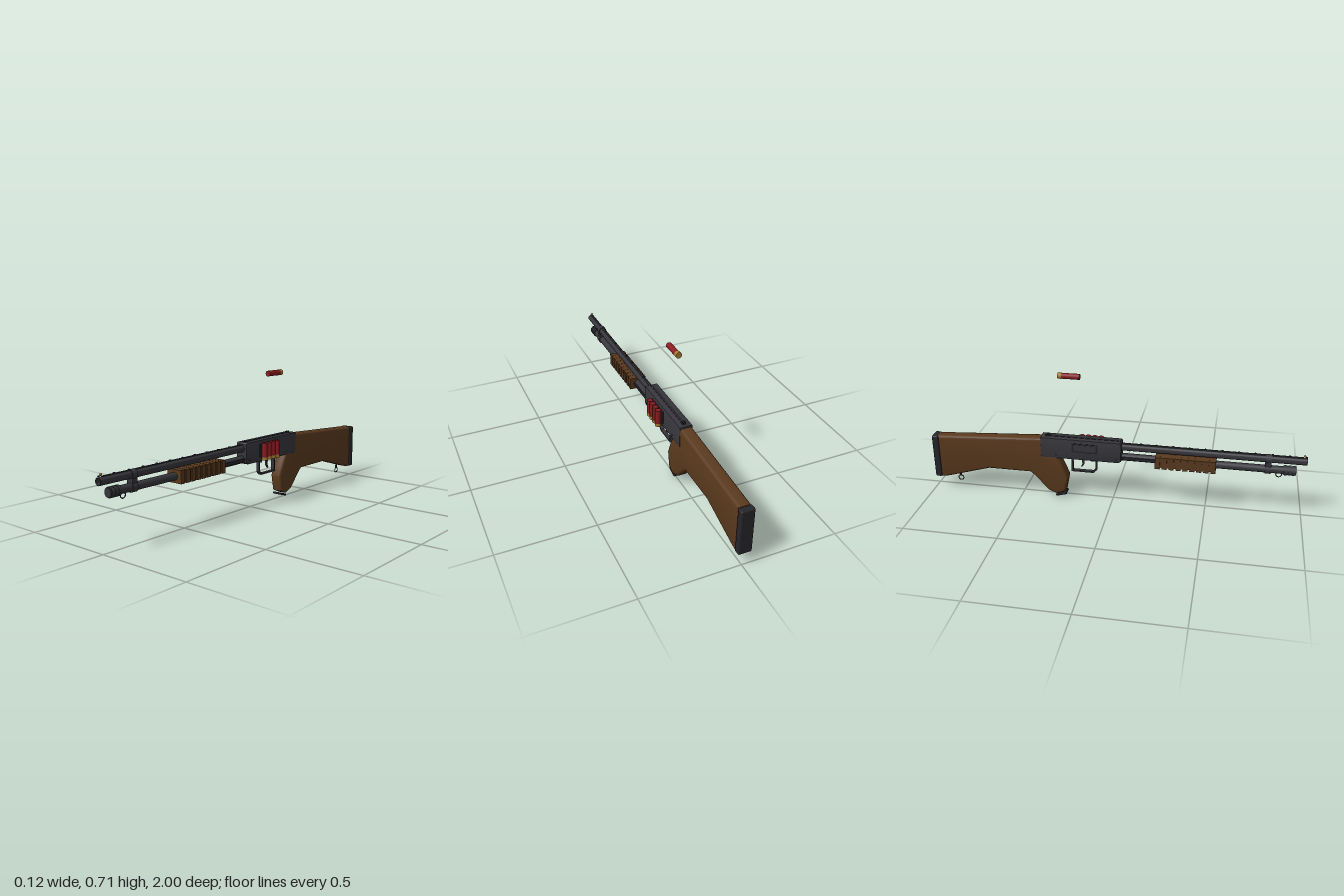
import * as THREE from 'three';
import { toCreasedNormals } from 'three/addons/utils/BufferGeometryUtils.js';
import { RoundedBoxGeometry } from 'three/addons/geometries/RoundedBoxGeometry.js';

const material = (name, color) => {
  const m = new THREE.MeshStandardMaterial({ color });
  m.name = name;
  return m;
};

export function createModel() {
  const metal = material('gunmetal', 0x36363c);
  const dark = material('dark steel', 0x26262b);
  const wood = material('walnut', 0x5a3a1e);
  const red = material('red hull', 0x8a1c20);
  const brass = material('brass', 0xa67c34);

  const model = new THREE.Group();
  model.name = 'shotgun';
  const gun = new THREE.Group();
  gun.name = 'gun';
  gun.position.x = -0.015;
  model.add(gun);

  const add = (name, geometry, mat, x = 0, y = 0, z = 0, parent = gun) => {
    const mesh = new THREE.Mesh(geometry, mat);
    mesh.name = name;
    mesh.position.set(x, y, z);
    parent.add(mesh);
    return mesh;
  };
  const box = (name, w, h, d, mat, x, y, z) =>
    add(name, new THREE.BoxGeometry(w, h, d), mat, x, y, z);
  // Cylinder along z between two depths
  const rod = (name, r, y, z0, z1, mat) =>
    add(name, new THREE.CylinderGeometry(r, r, Math.abs(z1 - z0), 28).rotateX(Math.PI / 2), mat, 0, y, (z0 + z1) / 2);
  // Side profile given as [z, y] points, extruded across x with rounded edges
  const slab = (points, width, bevel, segments = 3) => {
    const shape = new THREE.Shape(points.map(([z, y]) => new THREE.Vector2(z, y)));
    const depth = width - 2 * bevel;
    const g = new THREE.ExtrudeGeometry(shape, {
      depth, bevelEnabled: bevel > 0, bevelSize: bevel, bevelThickness: bevel,
      bevelOffset: -bevel, bevelSegments: segments,
    });
    g.translate(0, 0, -depth / 2).rotateY(-Math.PI / 2);
    return toCreasedNormals(g, 0.6);
  };

  // Receiver
  add('receiver', slab([
    [0.05, 0.25], [0.05, 0.348], [0.043, 0.356], [-0.385, 0.356], [-0.385, 0.24], [0.035, 0.24],
  ], 0.07, 0.005, 2), metal);
  box('receiverTopStrip', 0.014, 0.004, 0.4, dark, 0, 0.356, -0.165);
  box('ejectionPort', 0.004, 0.052, 0.14, dark, -0.0345, 0.31, -0.145);
  box('bolt', 0.004, 0.036, 0.12, metal, -0.036, 0.312, -0.145);
  for (const z of [0.025, -0.3]) {
    add('receiverPin', new THREE.CylinderGeometry(0.005, 0.005, 0.073, 12).rotateZ(Math.PI / 2), dark, 0, 0.26, z);
  }

  // Barrel with an open bore
  const bore = [[0, 0.88], [0.015, 0.88], [0.015, 1], [0.019, 1], [0.019, 0.04]]
    .map(([r, z]) => new THREE.Vector2(r, z)).reverse();
  add('barrel', toCreasedNormals(new THREE.LatheGeometry(bore, 28).rotateX(Math.PI / 2), 0.6), metal, 0, 0.323, 0);
  box('barrelRib', 0.009, 0.005, 0.93, metal, 0, 0.343, 0.515);
  for (let i = 0; i < 11; i++) box('ribPost', 0.008, 0.004, 0.01, dark, 0, 0.347, 0.15 + i * 0.0845);
  add('beadSight', new THREE.SphereGeometry(0.006, 14, 10), brass, 0, 0.353, 0.985);
  box('rearSightBase', 0.02, 0.006, 0.022, dark, 0, 0.358, -0.35);
  for (const s of [-1, 1]) box('rearSightEar', 0.005, 0.006, 0.01, dark, s * 0.006, 0.362, -0.352);

  // Magazine tube, cap and action bars
  rod('magazineTube', 0.02, 0.265, 0.04, 0.93, metal);
  rod('magazineCap', 0.0225, 0.265, 0.885, 0.95, metal);
  for (const z of [0.897, 0.917, 0.937]) rod('capRing', 0.026, 0.265, z - 0.007, z + 0.007, metal);
  for (const s of [-1, 1]) box('actionBar', 0.005, 0.016, 0.24, dark, s * 0.022, 0.265, 0.15);

  // Clamp joining barrel and magazine
  rod('clampUpperBand', 0.0235, 0.323, 0.793, 0.823, metal);
  rod('clampLowerBand', 0.025, 0.265, 0.793, 0.823, metal);
  box('clampBridge', 0.034, 0.055, 0.03, metal, 0, 0.294, 0.808);

  // Ribbed fore-end
  box('foreEnd', 0.08, 0.058, 0.312, wood, 0, 0.268, 0.387);
  const ribs = 9;
  for (let i = 0; i < ribs; i++) {
    box('foreEndRib', 0.09, 0.066, 0.026, wood, 0, 0.265, 0.243 + (i * 0.289) / (ribs - 1));
  }

  // Stock with pistol grip
  add('stock', slab([
    [-0.375, 0.348], [-0.967, 0.312], [-0.967, 0.06], [-0.93, 0.066], [-0.684, 0.139], [-0.45, 0.139],
    [-0.425, 0.118], [-0.353, 0.037], [-0.305, 0.017], [-0.257, 0.037], [-0.24, 0.125],
    [-0.278, 0.215], [-0.297, 0.25], [-0.375, 0.25],
  ], 0.067, 0.015), wood);
  add('buttPad', new RoundedBoxGeometry(0.07, 0.248, 0.035, 3, 0.007), dark, 0, 0.187, -0.9825);
  add('gripCap', new RoundedBoxGeometry(0.053, 0.011, 0.062, 2, 0.004), dark, 0, 0.0145, -0.282).rotation.x = -0.29;

  // Trigger guard: a flat strip bent around the trigger
  const guard = [
    [-0.085, 0.245], [-0.085, 0.175], [-0.103, 0.156], [-0.224, 0.156], [-0.224, 0.245],
    [-0.216, 0.245], [-0.216, 0.164], [-0.107, 0.164], [-0.093, 0.179], [-0.093, 0.245],
  ];
  add('triggerGuard', slab(guard, 0.02, 0), metal);
  add('trigger', slab([
    [-0.148, 0.245], [-0.156, 0.215], [-0.156, 0.2], [-0.168, 0.183], [-0.172, 0.187],
    [-0.165, 0.203], [-0.166, 0.218], [-0.168, 0.245],
  ], 0.01, 0), metal);
  box('slideRelease', 0.01, 0.01, 0.025, metal, 0, 0.228, -0.105);

  // Sling rings
  for (const [y, z] of [[0.238, 0.865], [0.05, -0.865]]) {
    add('slingRing', new THREE.TorusGeometry(0.0145, 0.0025, 8, 24).rotateY(Math.PI / 2), dark, 0, y, z);
    box('slingStud', 0.008, 0.022, 0.008, dark, 0, y + 0.022, z);
  }

  // Shells: brass base at the bottom, red hull above
  const shell = (name, length, head) => {
    const g = new THREE.Group();
    g.name = name;
    add('hull', new THREE.CylinderGeometry(0.0152, 0.0152, length - head, 24), red, 0, head / 2, 0, g);
    add('shellHead', new THREE.CylinderGeometry(0.016, 0.016, head, 24), brass, 0, (head - length) / 2, 0, g);
    model.add(g);
    return g;
  };
  box('shellCarrier', 0.01, 0.07, 0.14, dark, 0.038, 0.3, -0.126);
  for (let i = 0; i < 4; i++) shell('sideShell', 0.093, 0.018).position.set(0.043, 0.296, -0.074 - i * 0.0345);
  const ejected = shell('ejectedShell', 0.115, 0.02);
  ejected.position.set(-0.015, 0.7, -0.228);
  ejected.rotation.x = Math.PI / 2;

  return model;
}
